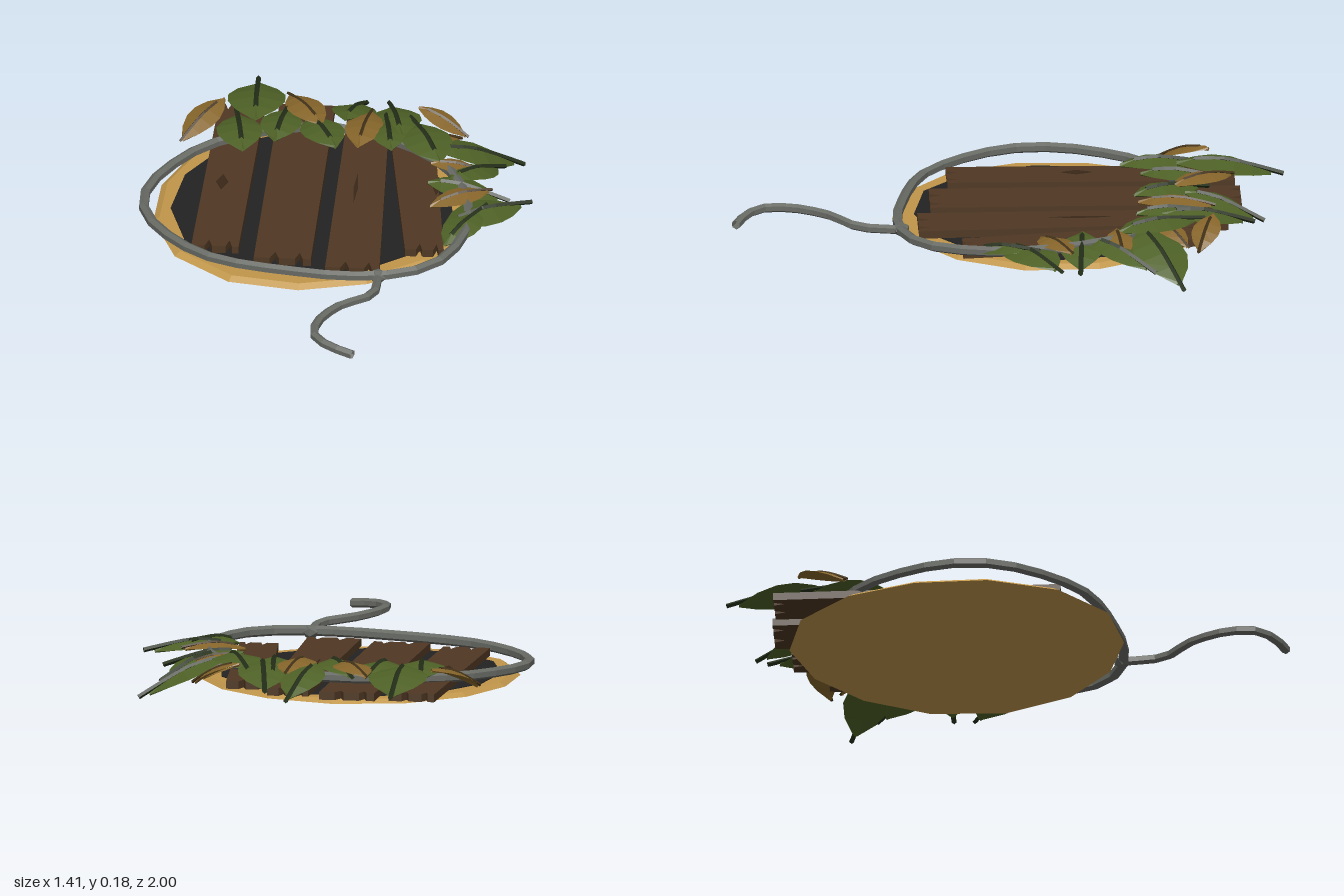
import * as THREE from 'three';

const mat = (color) => new THREE.MeshStandardMaterial({ color, flatShading: true, side: THREE.DoubleSide });
const sand = mat(0xc0964a), pit = mat(0x222222), wood = mat(0x4f3823), woodDark = mat(0x3a2817);
const ropeMat = mat(0x686a64), green = mat(0x4e6126), gold = mat(0x86652a), vein = mat(0x26301a), goldVein = mat(0x44331a);

function add(parent, name, geo, material) {
  const mesh = new THREE.Mesh(geo, material);
  mesh.name = name;
  parent.add(mesh);
  return mesh;
}

// Flat slab from an [x, z] outline
function slab(outline, y, height) {
  const shape = new THREE.Shape(outline.map(([x, z]) => new THREE.Vector2(x, -z)));
  const geo = new THREE.ExtrudeGeometry(shape, { depth: height, bevelEnabled: false });
  return geo.rotateX(-Math.PI / 2).translate(0, y, 0);
}

// Many-sided disc with sloping sides and a slightly uneven edge
function disc(radiusX, radiusZ, sides, y, height, slope) {
  const geo = new THREE.CylinderGeometry(slope, 1, height, sides);
  const p = geo.attributes.position;
  for (let i = 0; i < p.count; i++) {
    const wobble = 1 + 0.025 * Math.sin(3 * Math.atan2(p.getZ(i), p.getX(i)) + 1);
    p.setX(i, p.getX(i) * radiusX * wobble);
    p.setZ(i, p.getZ(i) * radiusZ * wobble);
  }
  geo.translate(-0.095, y + height / 2, -0.175);
  return geo;
}

function tube(points, radius, segments, closed = false, sides = 6) {
  const curve = new THREE.CatmullRomCurve3(points, closed, 'centripetal');
  return new THREE.TubeGeometry(curve, segments, radius, sides, closed);
}

// Plank from front edge to back edge, with splintered notches across both ends
function plankOutline(x0, x1, zFront, x2, x3, zBack) {
  const end = (a, b, z, inward) => [0, 0.28, 0.36, 0.44, 0.72, 0.79, 0.86, 1].map((t, i) =>
    [a + (b - a) * t, z + (i === 2 || i === 5 ? inward : 0)]);
  return [...end(x0, x1, zFront, -0.045), ...end(x3, x2, zBack, 0.04)];
}

// Folded leaf from inner point to outer point, arched, with a vein running past the tip
function leaf(parent, colour, [ax, az, bx, bz, tipY]) {
  const isGreen = colour === green;
  const A = new THREE.Vector3(ax, 0.1 - 0.08 * az, az), B = new THREE.Vector3(bx, tipY, bz);
  const along = B.clone().sub(A), length = along.length();
  const side = new THREE.Vector3(along.z, 0, -along.x).normalize();
  const halfWidth = length * (isGreen ? 0.31 : 0.27);
  const mid = (t, lift = 0) => A.clone().addScaledVector(along, t).add(new THREE.Vector3(0, 0.35 * length * t * (1 - t) + lift, 0));
  const pos = [], index = [], steps = 5;
  for (let i = 0; i <= steps; i++) {
    const t = i / steps, h = halfWidth * Math.max(0.1, Math.sin(Math.PI * t) ** 0.75);
    const edge = (s) => mid(t, -0.16 * h).addScaledVector(side, s * h);
    for (const v of [edge(1), mid(t, 0.006), edge(-1), mid(t, -0.008)]) pos.push(...v.toArray());
    for (let k = 0; k < 4 && i > 0; k++) {
      const p = (i - 1) * 4 + k, q = (i - 1) * 4 + ((k + 1) % 4);
      index.push(p, q, p + 4, q, q + 4, p + 4);
    }
  }
  const geo = new THREE.BufferGeometry();
  geo.setAttribute('position', new THREE.Float32BufferAttribute(pos, 3));
  geo.setIndex(index);
  geo.computeVertexNormals();
  const group = new THREE.Group();
  group.name = 'leaf';
  add(group, 'leafBlade', geo, colour);
  const tip = mid(1, 0.005).addScaledVector(along.normalize(), isGreen ? 0.045 : 0.015);
  along.multiplyScalar(length);
  const line = [mid(0.18, 0.005), mid(0.5, 0.005), mid(0.8, 0.005), tip];
  add(group, 'leafVein', tube(line, isGreen ? 0.009 : 0.006, 6, false, 4), isGreen ? vein : goldVein);
  parent.add(group);
}

export function createModel() {
  const model = new THREE.Group();

  // Sandy rim with a dark pit
  add(model, 'sandRim', disc(0.575, 0.6, 14, 0.035, 0.015, 0.96), sand);
  add(model, 'pit', disc(0.51, 0.52, 13, 0.045, 0.008, 1), pit);

  // Planks: front x range and z, then back x range and z
  const planks = new THREE.Group();
  planks.name = 'planks';
  model.add(planks);
  for (const p of [
    [-0.495, -0.325, 0.21, -0.475, -0.31, -0.82],
    [-0.265, -0.06, 0.28, -0.26, -0.06, -0.835],
    [-0.005, 0.19, 0.33, -0.01, 0.14, -0.78],
    [0.27, 0.41, 0.18, 0.15, 0.31, -0.66],
  ]) add(planks, 'plank', slab(plankOutline(...p), 0.058, 0.028), wood);

  // Knots and cracks: x, z, half width, half length
  for (const [x, z, w, l] of [[-0.42, -0.255, 0.022, 0.055], [0.06, -0.25, 0.008, 0.11], [0.35, -0.27, 0.014, 0.05]]) {
    add(planks, 'woodKnot', slab([[x - w, z], [x, z + l], [x + w, z], [x, z - l]], 0.08, 0.008), woodDark);
  }

  // Rope loop, knot and loose end
  const rope = new THREE.Group();
  rope.name = 'rope';
  model.add(rope);
  const loop = [[-0.46, -0.52], [-0.645, -0.285], [-0.69, -0.13], [-0.66, 0.03], [-0.44, 0.28], [-0.085, 0.385],
    [0.12, 0.405], [0.295, 0.37], [0.41, 0.275], [0.485, -0.02], [0.35, -0.41], [-0.05, -0.64]];
  const loopPath = loop.map(([x, z]) => new THREE.Vector3(x, 0.1 + 0.02 * x - 0.015 * z, z));
  add(rope, 'ropeLoop', tube(loopPath, 0.019, 32, true), ropeMat);
  const tail = [[0.19, 0.39], [0.18, 0.545], [0.07, 0.65], [0, 0.79], [0.005, 0.89], [0.07, 0.95], [0.145, 0.985]];
  const tailPath = tail.map(([x, z], i) => new THREE.Vector3(x, 0.093 + 0.022 * Math.sin(i * 0.45), z));
  add(rope, 'ropeEnd', tube(tailPath, 0.017, 12), ropeMat);
  const knot = add(rope, 'ropeKnot', new THREE.IcosahedronGeometry(0.033, 0), ropeMat);
  knot.position.set(0.19, 0.095, 0.395);
  knot.scale.y = 0.8;

  // Leaves along the back and left edges: inner x, z, outer x, z, tip height
  const leaves = new THREE.Group();
  leaves.name = 'leaves';
  model.add(leaves);
  const greenLeaves = [
    [-0.33, -0.61, -0.345, -0.95, 0.1], [-0.01, -0.63, 0.04, -0.87, 0.07], [0.2, -0.54, 0.14, -0.83, 0.09],
    [-0.36, -0.41, -0.4, -0.68, 0.12], [-0.25, -0.48, -0.22, -0.72, 0.13], [-0.03, -0.45, -0.14, -0.68, 0.12],
    [0.17, -0.45, 0.14, -0.66, 0.13], [0.35, -0.38, 0.24, -0.65, 0.13], [0.33, -0.46, 0.6, -0.585, 0.02],
    [0.4, -0.28, 0.55, -0.47, 0.06], [0.32, -0.25, 0.57, -0.235, 0.07], [0.4, 0.02, 0.66, -0.14, 0.1],
    [0.41, 0.14, 0.52, -0.05, 0.12],
  ];
  const goldLeaves = [
    [-0.09, -0.59, -0.22, -0.8, 0.14], [0.05, -0.46, 0.08, -0.72, 0.13], [0.25, -0.72, 0.42, -0.665, 0.08],
    [-0.45, -0.73, -0.585, -0.56, 0.08], [0.34, -0.1, 0.54, -0.2, 0.12], [0.26, -0.52, 0.4, -0.62, 0.09],
    [0.32, -0.37, 0.5, -0.39, 0.09],
  ];
  greenLeaves.forEach((l) => leaf(leaves, green, l));
  goldLeaves.forEach((l) => leaf(leaves, gold, l));

  return model;
}
